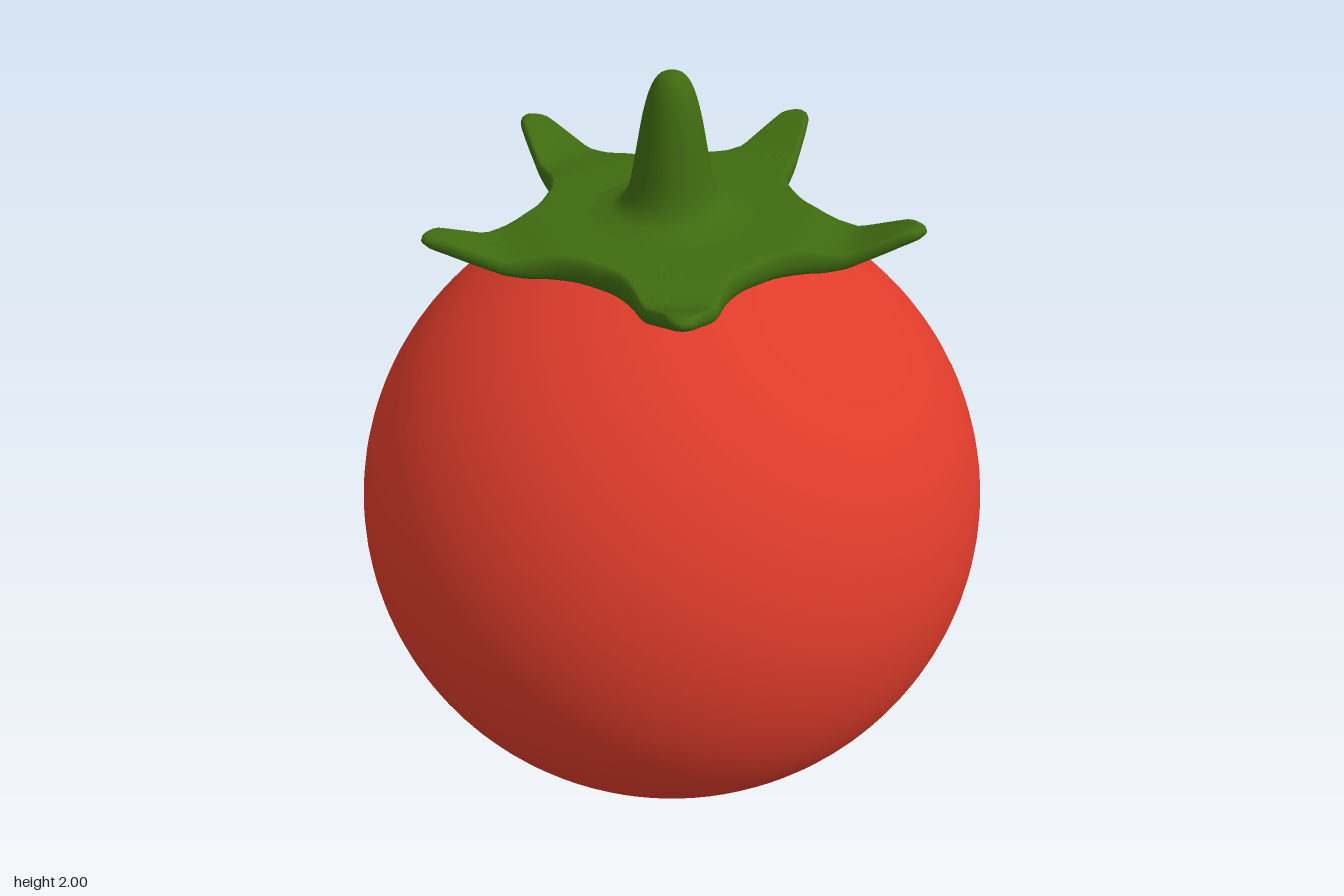
import * as THREE from 'three';

const RED = new THREE.MeshStandardMaterial({ color: 0xe03c2b });
const GREEN = new THREE.MeshStandardMaterial({ color: 0x3f6b10 });

const vec = ([x, y]) => new THREE.Vector2(x, y);

// Half of one leaf lobe, as [sideways, outward], from tip to valley
const HALF_LOBE = [[0, 0.625], [0.024, 0.612], [0.044, 0.575], [0.085, 0.45], [0.112, 0.37], [0.15, 0.31], [0.197, 0.271]];
const LOBES = 5;
const STEPS = 24;

// Leaf profile along a lobe: [outward distance, middle height, half thickness]
const PROFILE = [[0, 1.605, 0.034], [0.33, 1.602, 0.034], [0.4, 1.596, 0.026], [0.45, 1.6, 0.02], [0.52, 1.632, 0.02], [0.58, 1.66, 0.02], [0.63, 1.669, 0.017]];

function profileAt(d) {
  let k = 1;
  while (k < PROFILE.length - 1 && PROFILE[k][0] < d) k++;
  const a = PROFILE[k - 1], b = PROFILE[k];
  const t = THREE.MathUtils.clamp((d - a[0]) / (b[0] - a[0]), 0, 1);
  return [1, 2].map((n) => a[n] + (b[n] - a[n]) * t);
}

// Closed star outline; each point keeps its outward distance within its lobe
function starOutline() {
  const mirrored = HALF_LOBE.slice(1).reverse().map(([w, d]) => [-w, d]);
  const lobe = new THREE.SplineCurve([...mirrored, ...HALF_LOBE].map(vec)).getSpacedPoints(STEPS * 2);
  const outline = [];
  for (let n = 0; n < LOBES; n++) {
    const a = (n / LOBES) * Math.PI * 2, c = Math.cos(a), s = Math.sin(a);
    for (let i = 0; i < STEPS * 2; i++) {
      const { x: w, y: d } = lobe[i];
      outline.push({ x: w * c + d * s, z: d * c - w * s, d });
    }
  }
  return outline;
}

// Thick star: rings run from the centre over the rounded rim and back underneath
function leafGeometry() {
  const outline = starOutline();
  const rings = [];
  for (let k = 1; k <= 18; k++) rings.push([0.95 * k / 18, 1]);
  for (let k = 1; k < 8; k++) {
    const a = (k / 8) * Math.PI;
    rings.push([0.95 + 0.05 * Math.sin(a), Math.cos(a)]);
  }
  for (let k = 18; k >= 1; k--) rings.push([0.95 * k / 18, -1]);

  const position = [], index = [], R = rings.length, N = outline.length;
  for (const p of outline) {
    for (const [s, side] of rings) {
      const [mid, half] = profileAt(p.d * s);
      position.push(p.x * s, mid + side * half, p.z * s);
    }
  }
  for (let i = 0; i < N; i++) {
    const next = (i + 1) % N;
    for (let j = 0; j < R - 1; j++) {
      const a = i * R + j, d = next * R + j;
      index.push(a, a + 1, d + 1, a, d + 1, d);
    }
  }
  const g = new THREE.BufferGeometry();
  g.setAttribute('position', new THREE.Float32BufferAttribute(position, 3));
  g.setIndex(index);
  g.computeVertexNormals();
  return g;
}

// Stem with a flared foot and rounded top
function stemGeometry() {
  const points = [[0.23, 1.632], [0.17, 1.644], [0.13, 1.662], [0.105, 1.705], [0.088, 1.79], [0.07, 1.89], [0.052, 1.955], [0.03, 1.99], [0, 2]];
  return new THREE.LatheGeometry(new THREE.SplineCurve(points.map(vec)).getPoints(40), 48);
}

export function createModel() {
  const model = new THREE.Group();
  model.name = 'tomato';
  const add = (name, geometry, material) => {
    const mesh = new THREE.Mesh(geometry, material);
    mesh.name = name;
    model.add(mesh);
    return mesh;
  };

  // Slightly flattened round fruit
  const fruit = add('fruit', new THREE.SphereGeometry(1, 96, 64), RED);
  fruit.scale.set(0.815, 0.803, 0.815);
  fruit.position.y = 0.803;

  add('leafCrown', leafGeometry(), GREEN);
  add('stem', stemGeometry(), GREEN);
  return model;
}
